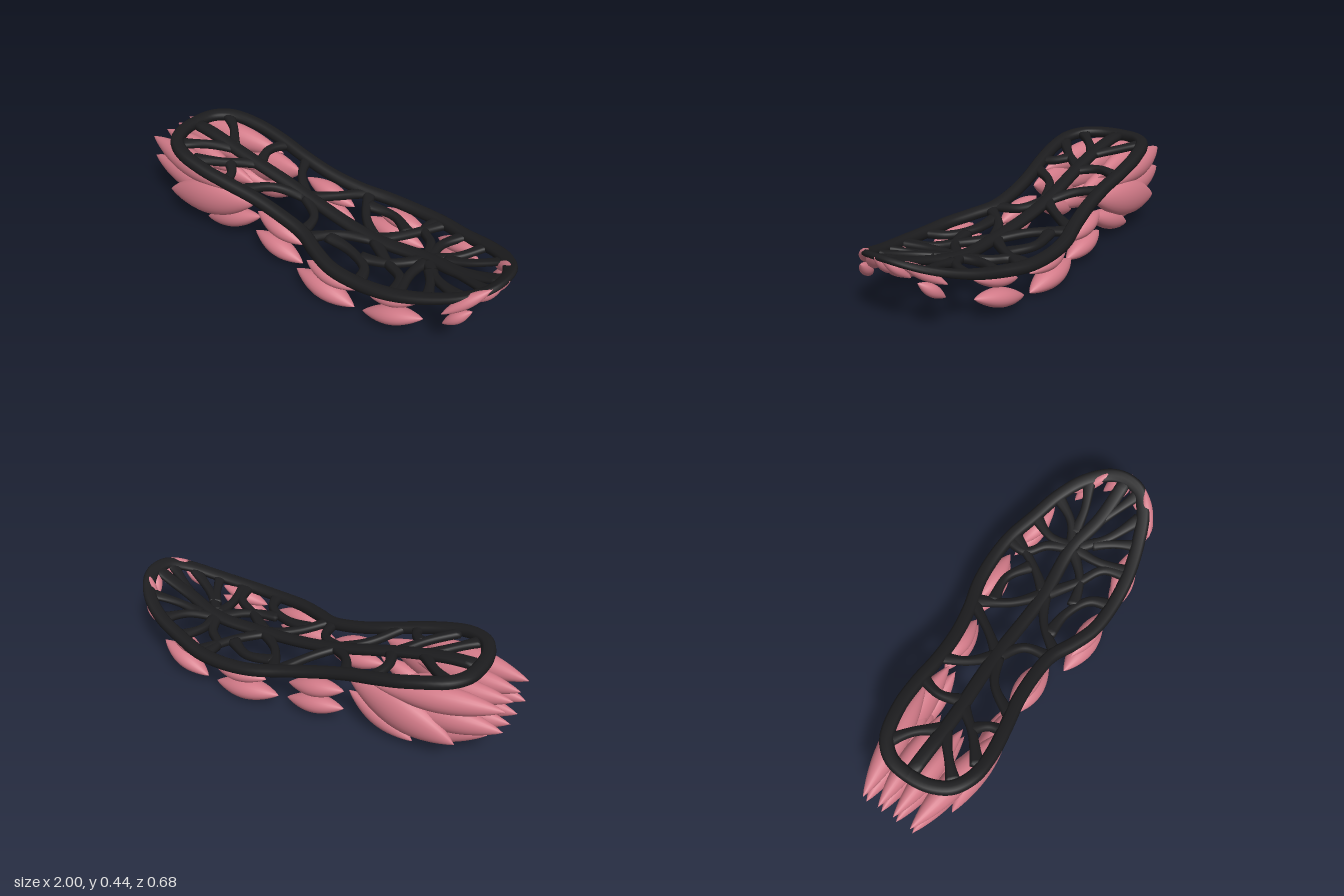
import * as THREE from 'three';

const V = (x, y, z) => new THREE.Vector3(x, y, z);
const UP = V(0, 1, 0);
const dark = new THREE.MeshStandardMaterial({ color: 0x1c1c1e });
const pink = new THREE.MeshStandardMaterial({ color: 0xd27a88 });

// Height of the sole along its length: heel raised, toe sprung upwards
const camber = new THREE.SplineCurve(
  [0.42, 0.406, 0.362, 0.31, 0.255, 0.214, 0.195, 0.2, 0.232, 0.295, 0.39].map((y, i) => new THREE.Vector2(-0.9 + i * 0.2, y))
);
const soleY = (x) => camber.getPoint(THREE.MathUtils.clamp((x + 0.9) / 2, 0, 1)).y;

// Sweep a rounded bar along a plan path [x, z], laid on the cambered sole
function sweepBar(plan, { width, height, closed = false, inset = 0, flare = 0, steps = 24, drop = 0 }) {
  const path = new THREE.CatmullRomCurve3(plan.map(([x, z]) => V(x, 0, z)), closed);
  const sides = 12, pos = [], index = [];
  const at = (t) => {
    const p = path.getPoint(t);
    p.y = soleY(p.x) - drop;
    return p;
  };
  const round = (c) => Math.sign(c) * Math.pow(Math.abs(c), 0.7);
  for (let i = 0; i <= steps; i++) {
    const t = i / steps, e = 0.004;
    const wrap = (s) => (closed ? (s + 1) % 1 : THREE.MathUtils.clamp(s, 0, 1));
    const T = at(wrap(t + e)).sub(at(wrap(t - e))).normalize();
    const c = at(wrap(t));
    // Lean the section with the slope of the sole
    const normal = V((soleY(c.x - 0.02) - soleY(c.x + 0.02)) / 0.04, 1, 0).normalize();
    const S = T.clone().cross(normal).normalize();
    const U = S.clone().cross(T);
    c.addScaledVector(S, inset);
    const cap = !closed && (i === 0 || i === steps) ? 0.2 : 1;
    const w = (width / 2) * cap * (1 + flare * (2 * t - 1) ** 2);
    // The bars thin out towards the toe
    const h = (height / 2) * cap * (1 - 0.4 * THREE.MathUtils.smoothstep(c.x, 0.5, 1));
    for (let j = 0; j < sides; j++) {
      const a = (j / sides) * Math.PI * 2;
      const p = c.clone().addScaledVector(S, w * round(Math.cos(a))).addScaledVector(U, h * round(Math.sin(a)));
      pos.push(p.x, p.y, p.z);
      if (i < steps) {
        const k = i * sides, n = (j + 1) % sides;
        index.push(k + j, k + sides + j, k + n, k + sides + j, k + sides + n, k + n);
      }
    }
  }
  const g = new THREE.BufferGeometry();
  g.setAttribute('position', new THREE.Float32BufferAttribute(pos, 3));
  g.setIndex(index);
  g.computeVertexNormals();
  return g;
}

// Pointed pod between two tips, with separate vertical and sideways radii
function makePod(a, b, rv, rh) {
  const profile = [];
  for (let i = 0; i <= 20; i++) {
    const t = i / 20;
    profile.push(new THREE.Vector2(Math.pow(Math.max(Math.sin(Math.PI * t), 0), 0.85), t - 0.5));
  }
  const mesh = new THREE.Mesh(new THREE.LatheGeometry(profile, 24), pink);
  const dir = b.clone().sub(a), len = dir.length();
  dir.normalize();
  const side = UP.clone().cross(dir).normalize();
  const up = dir.clone().cross(side);
  mesh.quaternion.setFromRotationMatrix(new THREE.Matrix4().makeBasis(up, dir, side));
  mesh.position.copy(a).add(b).multiplyScalar(0.5);
  mesh.scale.set(rv, len, rh);
  return mesh;
}

export function createModel() {
  const model = new THREE.Group();

  // Outer rim of the sole
  const outline = [
    [-0.855, 0.02], [-0.835, -0.1], [-0.76, -0.185], [-0.6, -0.235], [-0.45, -0.245], [-0.3, -0.24], [-0.15, -0.25],
    [0, -0.28], [0.15, -0.325], [0.3, -0.342], [0.45, -0.335], [0.6, -0.295], [0.75, -0.25], [0.88, -0.175],
    [0.965, -0.07], [0.99, 0.03], [0.97, 0.13], [0.89, 0.21], [0.74, 0.275], [0.57, 0.32], [0.4, 0.335],
    [0.25, 0.325], [0.12, 0.28], [0.02, 0.235], [-0.1, 0.225], [-0.25, 0.235], [-0.4, 0.265], [-0.55, 0.287],
    [-0.68, 0.28], [-0.785, 0.225], [-0.84, 0.13],
  ];
  const rim = new THREE.Mesh(sweepBar(outline, { width: 0.065, height: 0.05, closed: true, inset: 0.032, steps: 160 }), dark);
  rim.name = 'soleRim';
  model.add(rim);

  // Branching lattice inside the rim
  const lattice = new THREE.Group();
  lattice.name = 'soleLattice';
  const spine = [[-0.82, 0.02], [-0.5, 0.02], [-0.13, -0.005], [0.28, 0], [0.55, -0.02], [0.75, 0.02], [0.96, 0.03]];
  lattice.add(new THREE.Mesh(sweepBar(spine, { width: 0.066, height: 0.042, steps: 60 }), dark));
  const struts = [
    [[-0.56, 0.02], [-0.65, -0.08], [-0.75, -0.15]],
    [[-0.56, 0.02], [-0.66, 0.11], [-0.74, 0.19]],
    [[-0.4, 0.015], [-0.44, -0.1], [-0.41, -0.22]],
    [[-0.42, 0.015], [-0.5, 0.12], [-0.63, 0.24]],
    [[-0.5, 0.11], [-0.44, 0.17], [-0.42, 0.24]],
    [[-0.12, 0], [-0.23, -0.1], [-0.29, -0.22]],
    [[-0.12, 0], [-0.03, -0.12], [0.06, -0.27]],
    [[-0.12, 0], [-0.26, 0.08], [-0.35, 0.23]],
    [[-0.12, 0], [-0.01, 0.08], [0.02, 0.22]],
    [[0.28, 0], [0.15, -0.11], [0.06, -0.26]],
    [[0.28, 0], [0.38, -0.13], [0.47, -0.3]],
    [[0.1, -0.18], [0.25, -0.2], [0.38, -0.13]],
    [[0.28, 0], [0.14, 0.09], [0.04, 0.22]],
    [[0.28, 0], [0.42, 0.1], [0.54, 0.17], [0.58, 0.29]],
    [[0.1, 0.13], [0.25, 0.14], [0.37, 0.2], [0.41, 0.3]],
    [[0.56, -0.02], [0.5, -0.13], [0.42, -0.2], [0.43, -0.3]],
    [[0.56, -0.02], [0.55, -0.14], [0.6, -0.26]],
    [[0.56, -0.02], [0.67, -0.1], [0.74, -0.22]],
    [[0.62, -0.05], [0.75, -0.07], [0.89, -0.13]],
    [[0.56, -0.02], [0.44, 0.1], [0.3, 0.15]],
    [[0.56, 0], [0.56, 0.12], [0.6, 0.29]],
    [[0.57, 0], [0.68, 0.1], [0.85, 0.19]],
    [[0.62, 0.05], [0.68, 0.15], [0.73, 0.25]],
    [[0.72, 0.01], [0.83, 0.07], [0.94, 0.12]],
  ];
  for (const s of struts) {
    lattice.add(new THREE.Mesh(sweepBar(s, { width: 0.042, height: 0.038, flare: 0.7, drop: 0.002 }), dark));
  }
  model.add(lattice);

  // Cushioning pods: tip, tip, vertical radius, side radius, z offset of the mirrored twin
  const pods = {
    heelPods: [
      [[-1, 0.33, 0.14], [-0.42, 0.29, 0.22], 0.065, 0.06, 0.03],
      [[-1, 0.22, 0.14], [-0.45, 0.2, 0.18], 0.07, 0.06, 0.03],
      [[-0.82, 0.13, 0.22], [-0.28, 0.25, 0.19], 0.095, 0.065, 0.03],
      [[-0.61, 0.03, 0.18], [-0.27, 0.165, 0.16], 0.05, 0.05, 0.02],
      [[-0.92, 0.14, 0.1], [-0.45, 0.09, 0.17], 0.07, 0.055, 0.03],
      [[-1, 0.33, 0.05], [-0.5, 0.28, 0.07], 0.06, 0.05, 0.02],
      [[-1, 0.21, 0.05], [-0.5, 0.15, 0.07], 0.065, 0.05, 0.02],
    ],
    waistPods: [
      [[-0.28, 0.2, 0.17], [0.01, 0.14, 0.18], 0.045, 0.05, -0.03],
      [[-0.28, 0.1, 0.19], [0.02, 0.05, 0.2], 0.045, 0.05, -0.01],
    ],
    ballPods: [
      [[0.1, 0.15, 0.27], [0.39, 0.13, 0.28], 0.04, 0.05, 0.01],
      [[0.04, 0.075, 0.27], [0.385, 0.035, 0.285], 0.05, 0.058, 0.02],
      [[0.46, 0.135, 0.28], [0.7, 0.2, 0.23], 0.035, 0.045, 0.02],
      [[0.43, 0.045, 0.29], [0.72, 0.125, 0.25], 0.042, 0.052, 0.02],
    ],
    toePods: [
      [[0.985, 0.34, 0.07], [0.89, 0.235, 0.14], 0.025, 0.03, 0.09],
      [[0.965, 0.335, 0.13], [0.81, 0.21, 0.265], 0.027, 0.03, 0.09],
      [[0.92, 0.24, 0.2], [0.81, 0.15, 0.25], 0.027, 0.027, 0.09],
    ],
  };
  for (const [name, list] of Object.entries(pods)) {
    const group = new THREE.Group();
    group.name = name;
    for (const [a, b, rv, rh, shift] of list) {
      const flip = ([x, y, z]) => V(x, y, shift - z);
      group.add(makePod(V(...a), V(...b), rv, rh), makePod(flip(a), flip(b), rv, rh));
    }
    model.add(group);
  }

  // Single pod at the tip of the toe
  const tip = makePod(V(0.995, 0.34, 0.045), V(0.9, 0.235, 0.045), 0.02, 0.02);
  tip.name = 'toeTipPod';
  model.add(tip);
  return model;
}
